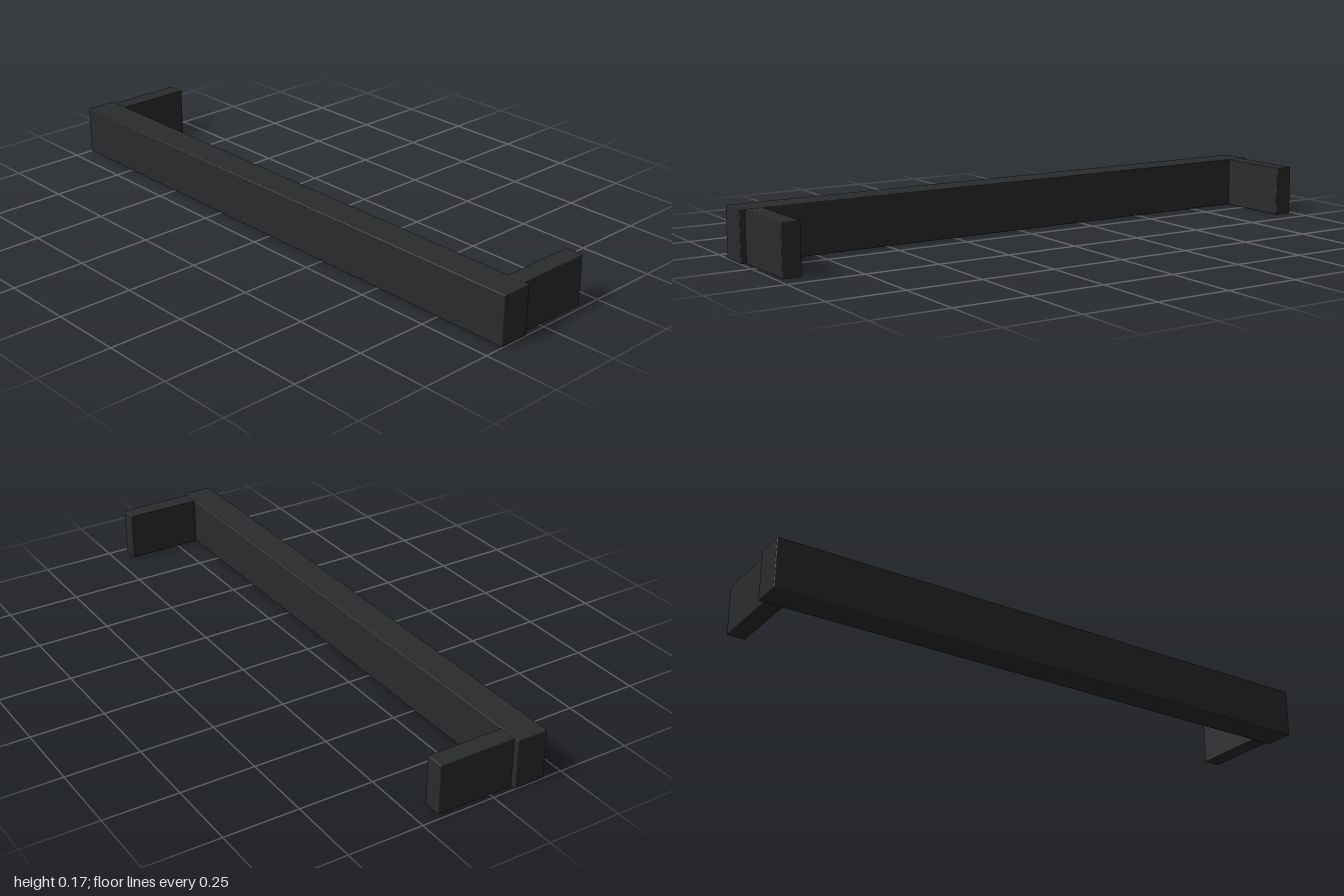
import * as THREE from 'three';
import { RoundedBoxGeometry } from 'three/addons/geometries/RoundedBoxGeometry.js';

const HEIGHT = 0.167;
const BEVEL = 0.003;

export function createModel() {
  const model = new THREE.Group();
  model.name = 'barHandle';
  const material = new THREE.MeshStandardMaterial({ color: 0x2a2b2c });

  // Block with finely softened edges, standing on y = 0
  function addBlock(name, width, depth, x, z) {
    const geometry = new RoundedBoxGeometry(width, HEIGHT, depth, 2, BEVEL);
    const mesh = new THREE.Mesh(geometry, material);
    mesh.name = name;
    mesh.position.set(x, HEIGHT / 2, z);
    model.add(mesh);
  }

  // Long front grip
  addBlock('gripBar', 2, 0.106, 0, 0.131);

  // Mounting legs reaching back from both ends
  for (const [name, side] of [['leftLeg', 1], ['rightLeg', -1]]) {
    addBlock(name, 0.062, 0.262, side * 0.952, -0.053);
  }

  return model;
}
